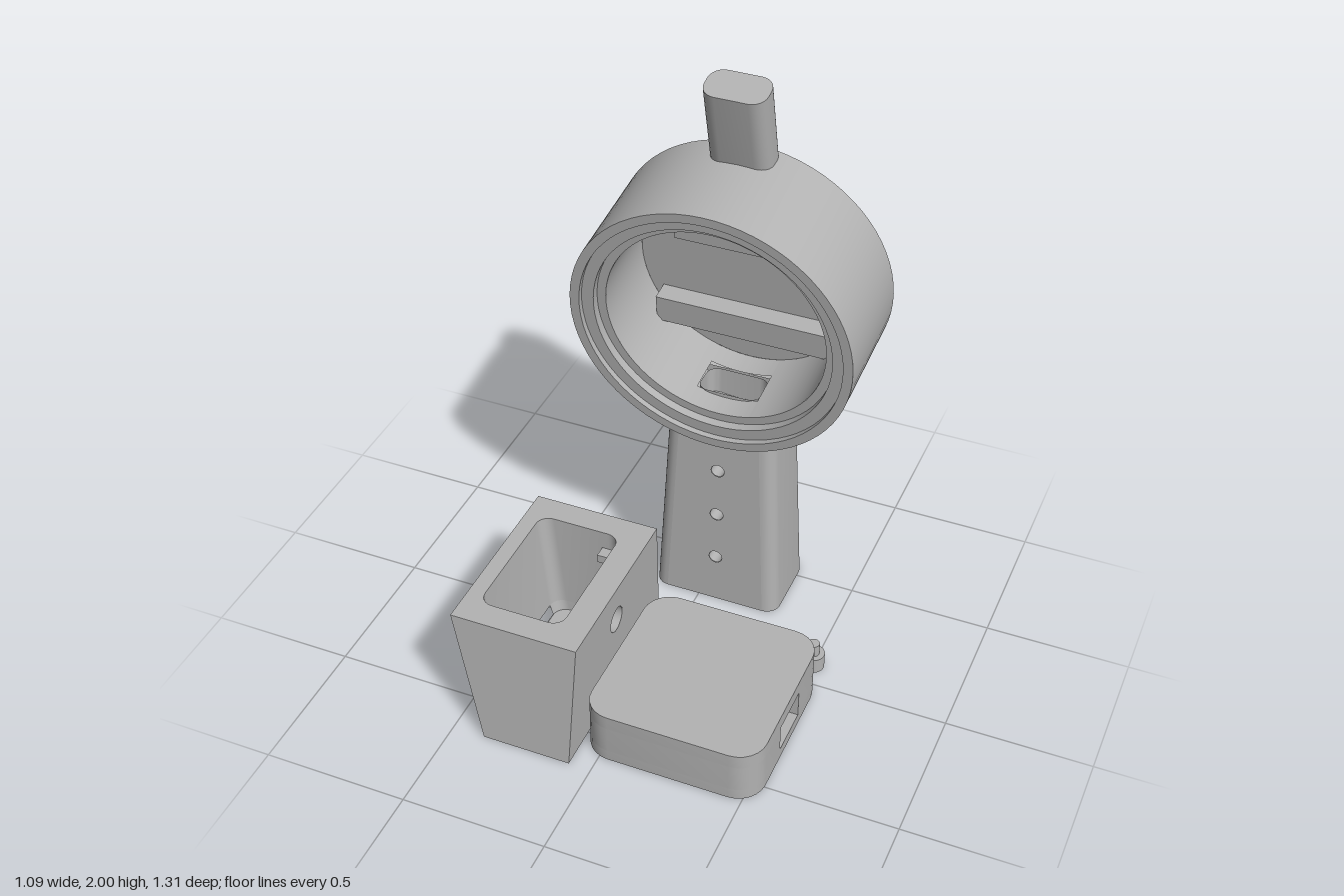
import * as THREE from 'three';
import { toCreasedNormals } from 'three/addons/utils/BufferGeometryUtils.js';

const V2 = (x, y) => new THREE.Vector2(x, y);
const V3 = (x, y, z) => new THREE.Vector3(x, y, z);

// Rounded rectangle outline; its closing segment is the -x side
function roundRect(hx, hy, r, cx = 0, cy = 0) {
  const pts = [], n = 6;
  [[-1, -1], [1, -1], [1, 1], [-1, 1]].forEach(([sx, sy], k) => {
    for (let i = 0; i <= n; i++) {
      const a = Math.PI + (k + i / n) * Math.PI / 2;
      pts.push(V2(cx + sx * (hx - r) + r * Math.cos(a), cy + sy * (hy - r) + r * Math.sin(a)));
    }
  });
  return pts;
}

function circle(cx, cy, r, n = 32) {
  return Array.from({ length: n }, (_, i) => {
    const a = i / n * Math.PI * 2;
    return V2(cx + r * Math.cos(a), cy + r * Math.sin(a));
  });
}

function shapeOf(pts, holes = []) {
  const shape = new THREE.Shape(pts);
  holes.forEach(h => shape.holes.push(new THREE.Path(h)));
  return shape;
}

// Flat panel with holes, placed in space by a mapping rule
function panel(pts, holes, map) {
  const geo = new THREE.ShapeGeometry(shapeOf(pts, holes)), p = geo.attributes.position;
  for (let i = 0; i < p.count; i++) p.setXYZ(i, ...map(p.getX(i), p.getY(i)).toArray());
  geo.computeVertexNormals();
  return geo;
}

// Skin between cross-sections
function loft(rings, closed = true) {
  const n = rings[0].length, idx = [];
  for (let j = 0; j < rings.length - 1; j++) {
    for (let i = 0; i < (closed ? n : n - 1); i++) {
      const a = j * n + i, b = j * n + (i + 1) % n;
      idx.push(a, a + n, b, b, a + n, b + n);
    }
  }
  const geo = new THREE.BufferGeometry().setFromPoints(rings.flat());
  geo.setIndex(idx);
  return toCreasedNormals(geo, 0.5);
}

// Upright prism standing on y = 0
function prism(pts, height, holes = []) {
  const geo = new THREE.ExtrudeGeometry(shapeOf(pts, holes), { depth: height, bevelEnabled: false });
  return toCreasedNormals(geo.rotateX(-Math.PI / 2), 0.5);
}

// Turned surface around local z; angle 0 points down
function turned(pts, start = 0, length = Math.PI * 2) {
  const geo = new THREE.LatheGeometry(pts.map(p => V2(...p)), 72, start, length);
  return toCreasedNormals(geo.rotateX(Math.PI / 2), 0.3);
}

export function createModel() {
  const grey = new THREE.MeshStandardMaterial({ color: 0xb2b2b2, side: THREE.DoubleSide });
  grey.name = 'plain grey';
  const model = new THREE.Group();
  model.name = 'lampAndParts';
  const group = name => {
    const g = new THREE.Group();
    g.name = name;
    model.add(g);
    return g;
  };
  const add = (parent, name, geo, x = 0, y = 0, z = 0) => {
    const mesh = new THREE.Mesh(geo, grey);
    mesh.name = name;
    mesh.position.set(x, y, z);
    parent.add(mesh);
    return mesh;
  };

  // Tilted round head: domed back, stepped rim, deep bore
  const head = group('head');
  head.position.set(0.06, 1.192, -0.183);
  head.rotation.x = 0.125;
  const profile = [], domeR = 0.372, domeH = 0.074;
  const sphereR = (domeR ** 2 + domeH ** 2) / (2 * domeH), capAngle = Math.asin(domeR / sphereR);
  for (let i = 0; i <= 12; i++) {
    const a = capAngle * i / 12;
    profile.push([sphereR * Math.sin(a), -0.4 - domeH + sphereR * (1 - Math.cos(a))]);
  }
  profile.push([0.486, -0.4], [0.486, 0], [0.453, 0], [0.453, -0.02], [0.411, -0.02], [0.411, -0.05], [0.38, -0.05]);
  add(head, 'headShell', turned(profile));
  const gap = 0.29;
  add(head, 'boreWall', turned([[0.38, -0.05], [0.38, -0.35]], gap, Math.PI * 2 - 2 * gap));
  add(head, 'boreWallFront', turned([[0.38, -0.05], [0.38, -0.135]], -gap, 2 * gap));
  add(head, 'boreWallBack', turned([[0.38, -0.265], [0.38, -0.35]], -gap, 2 * gap));
  add(head, 'boreFloor', new THREE.CircleGeometry(0.38, 72), 0, 0, -0.35);
  add(head, 'upperBar', new THREE.BoxGeometry(0.456, 0.1, 0.07), 0, 0.183, -0.315);
  add(head, 'lowerBar', new THREE.BoxGeometry(0.62, 0.1, 0.07), 0, -0.195, -0.315);

  // Leaning stem on top of the head
  const stem = group('stem');
  stem.position.set(0.06, 1.983, -0.397);
  stem.rotation.x = 0.25;
  add(stem, 'stemPost', prism(roundRect(0.106, 0.064, 0.05), 0.36), 0, -0.36, 0);

  // Tapered hollow stand with three holes in its front
  const stand = group('stand'), topY = 0.8, cz = -0.423, corner = 0.05;
  const frontZ = y => -0.275 - 0.019 * y;
  const halfX = y => 0.23 - 0.05 * y;
  const standRing = y => roundRect(frontZ(y) - cz, halfX(y), corner).map(p => V3(0.06 + p.y, y, cz - p.x));
  add(stand, 'standShell', loft([standRing(0), standRing(topY)], false));
  const w0 = halfX(0) - corner, w1 = halfX(topY) - corner;
  const holeYs = [0.19, 0.38, 0.57];
  add(stand, 'standFront', panel(
    [V2(-w0, 0), V2(w0, 0), V2(w1, topY), V2(-w1, topY)],
    holeYs.map(y => circle(0, y, 0.024, 24)),
    (x, y) => V3(0.06 + x, y, frontZ(y))));
  holeYs.forEach(y => add(stand, 'frontHole',
    new THREE.CylinderGeometry(0.024, 0.024, 0.08, 24, 1, true).rotateX(Math.PI / 2), 0.06, y, frontZ(y) - 0.041));
  const duct = roundRect(0.11, 0.065, 0.04);
  add(stand, 'standBottom', panel(roundRect(0.23, 0.148, corner), [duct],
    (x, z) => V3(0.06 + x, 0, cz + z)));
  add(stand, 'cableDuct', loft([0, 0.845].map(y => duct.map(p => V3(0.06 + p.x, y, cz + p.y)))));

  // Slanted box with an open pocket
  const box = group('slantedBox'), H = 0.46;
  const mix = (bottom, top) => y => bottom + (top - bottom) * y / H;
  const xl = mix(-0.387, -0.506), xr = mix(-0.078, -0.063), zb = mix(-0.097, -0.047), zf = mix(0.652, 0.602);
  const rect = y => [V2(xl(y), zb(y)), V2(xr(y), zb(y)), V2(xr(y), zf(y)), V2(xl(y), zf(y))];
  const sideZ = [V2(zb(0), 0), V2(zf(0), 0), V2(zf(H), H), V2(zb(H), H)];
  const sideX = [V2(xl(0), 0), V2(xr(0), 0), V2(xr(H), H), V2(xl(H), H)];
  const slit = [V2(0.075, 0.06), V2(0.478, 0.06), V2(0.478, 0.1), V2(0.075, 0.1)];
  const pocket = left => roundRect((-0.158 - left) / 2, 0.234, 0.045, (left - 0.158) / 2, 0.277);
  const pocketRing = (left, y) => pocket(left).map(p => V3(p.x, y, p.y));
  add(box, 'boxTop', panel(rect(H), [pocket(-0.45)], (x, z) => V3(x, H, z)));
  add(box, 'boxBottom', panel(rect(0), [], (x, z) => V3(x, 0, z)));
  add(box, 'boxSlitSide', panel(sideZ, [slit], (z, y) => V3(xl(y), y, z)));
  add(box, 'boxHoleSide', panel(sideZ, [circle(0.282, 0.325, 0.046)], (z, y) => V3(xr(y), y, z)));
  add(box, 'boxFront', panel(sideX, [], (x, y) => V3(x, y, zf(y))));
  add(box, 'boxBack', panel(sideX, [], (x, y) => V3(x, y, zb(y))));
  add(box, 'pocketWall', loft([pocketRing(-0.45, H), pocketRing(-0.411, 0.1)]));
  add(box, 'pocketLowerWall', loft([pocketRing(-0.411, 0.1), pocketRing(-0.4, 0.06)], false));
  add(box, 'pocketFloor', panel(pocket(-0.4), [], (x, z) => V3(x, 0.06, z)));
  add(box, 'sideBore', new THREE.CylinderGeometry(0.046, 0.046, 0.09, 32, 1, true).rotateZ(Math.PI / 2), -0.113, 0.325, 0.282);
  for (const s of [-1, 1]) {
    add(box, 'pocketTab', new THREE.BoxGeometry(0.053, 0.03, 0.042), -0.198, 0.38, 0.277 + s * 0.211);
  }

  // Two loose rings beside the slanted side
  const rings = group('rings');
  [['largeRing', 0.072, 0.042, -0.494, 0.272], ['smallRing', 0.053, 0.03, -0.518, 0.178]].forEach(([name, r, hole, x, y]) => {
    const geo = prism(circle(0, 0, r, 40), 0.03, [circle(0, 0, hole, 40)]).translate(0, -0.015, 0);
    add(rings, name, geo, x, y, 0.277).rotation.z = Math.PI / 2 + 0.253;
  });

  // Rounded slab with a socket in its side
  const slab = group('slab');
  const outline = roundRect(0.305, 0.309, 0.095);
  const notched = outline.slice();
  notched.splice(14, 0, V2(0.305, -0.085), V2(0.235, -0.085), V2(0.235, 0.085), V2(0.305, 0.085));
  [['slabBottom', outline, 0, 0.04], ['slabMiddle', notched, 0.04, 0.1], ['slabTop', outline, 0.14, 0.05]].forEach(
    ([name, pts, y, h]) => add(slab, name, prism(pts, h), 0.241, y, 0.277));

  // Small stepped peg
  const peg = group('peg');
  add(peg, 'pegBase', new THREE.CylinderGeometry(0.04, 0.04, 0.057, 32), 0.498, 0.0285, -0.09);
  add(peg, 'pegPin', new THREE.CylinderGeometry(0.021, 0.021, 0.045, 32), 0.498, 0.0785, -0.09);

  return model;
}
